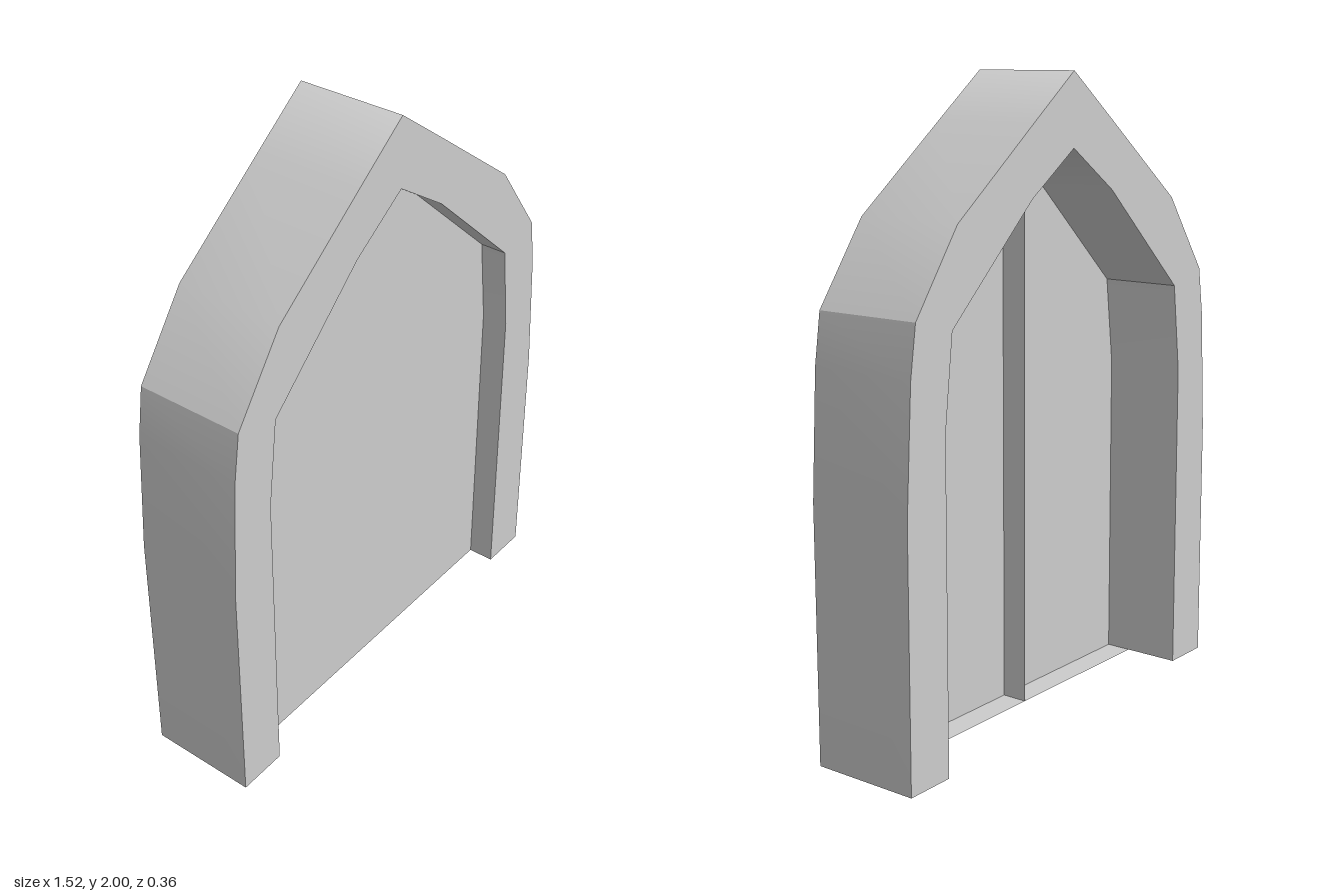
import * as THREE from 'three';

const HALF_DEPTH = 0.178; // frame runs from -z to +z
const PANEL_Z = 0.09; // front of the door leaves
const LEAF_DEPTH = 0.085;

// Right-hand halves of the outlines, from the ground to the shoulder and over to the peak
const outerSide = [[0.76, 0], [0.76, 0.8], [0.738, 1.19], [0.715, 1.347]];
const outerArch = [[0.715, 1.347], [0.537, 1.595], [0.2, 1.85], [0, 2]];
const innerSide = [[0.596, 0], [0.596, 1.02], [0.563, 1.305]];
const innerArch = [[0.563, 1.305], [0.2, 1.64], [0, 1.775]];

const material = new THREE.MeshStandardMaterial({ color: 0xcccccc, side: THREE.DoubleSide });

const mirror = (points) => points.map(([x, y]) => [-x, y]).reverse();

// Whole outline from the +x foot, over the peak, to the -x foot
function outline(side, arch) {
  const half = [...side, ...arch.slice(1)];
  return [...half, ...mirror(half).slice(1)];
}

const toShape = (points) => new THREE.Shape(points.map(([x, y]) => new THREE.Vector2(x, y)));

function addMesh(group, name, geometry) {
  const mesh = new THREE.Mesh(geometry, material);
  mesh.name = name;
  group.add(mesh);
  return mesh;
}

// Smooth wall that carries a profile through the depth of the frame
function wall(points, inward) {
  const positions = [];
  const index = [];
  points.forEach(([x, y], i) => {
    positions.push(x, y, HALF_DEPTH, x, y, -HALF_DEPTH);
    if (i === 0) return;
    const a = 2 * i - 2, b = a + 1, c = a + 2, d = a + 3;
    if (inward) index.push(a, c, b, b, c, d);
    else index.push(a, b, c, b, d, c);
  });
  const geometry = new THREE.BufferGeometry();
  geometry.setAttribute('position', new THREE.Float32BufferAttribute(positions, 3));
  geometry.setIndex(index);
  geometry.computeVertexNormals();
  return geometry;
}

export function createModel() {
  const model = new THREE.Group();
  model.name = 'archedDoorway';

  const outer = outline(outerSide, outerArch);
  const inner = outline(innerSide, innerArch);

  // Frame: a hollow pointed arch, open underneath
  const frame = new THREE.Group();
  frame.name = 'frame';
  model.add(frame);
  const face = toShape([...outer, ...inner.slice().reverse()]);
  addMesh(frame, 'frameFront', new THREE.ShapeGeometry(face)).position.z = HALF_DEPTH;
  const back = addMesh(frame, 'frameBack', new THREE.ShapeGeometry(face));
  back.rotation.y = Math.PI;
  back.position.z = -HALF_DEPTH;

  for (const [label, side, arch, inward] of [
    ['outer', outerSide, outerArch, false],
    ['inner', innerSide, innerArch, true],
  ]) {
    addMesh(frame, label + 'WallLeft', wall(side, inward));
    addMesh(frame, label + 'WallRight', wall(mirror(side), inward));
    addMesh(frame, label + 'WallArch', wall([...arch, ...mirror(arch).slice(1)], inward));
  }

  // Door: flat front, with a thin centre rib and bottom ledge behind it
  const door = new THREE.Group();
  door.name = 'door';
  model.add(door);
  addMesh(door, 'doorPanel', new THREE.ShapeGeometry(toShape(inner))).position.z = PANEL_Z;

  const height = innerArch[innerArch.length - 1][1];
  const rib = addMesh(door, 'centreRib', new THREE.PlaneGeometry(LEAF_DEPTH, height));
  rib.rotation.y = Math.PI / 2;
  rib.position.set(0, height / 2, PANEL_Z - LEAF_DEPTH / 2);

  const ledge = addMesh(door, 'bottomLedge', new THREE.PlaneGeometry(2 * innerSide[0][0], LEAF_DEPTH));
  ledge.rotation.x = -Math.PI / 2;
  ledge.position.set(0, 0, PANEL_Z - LEAF_DEPTH / 2);

  return model;
}
